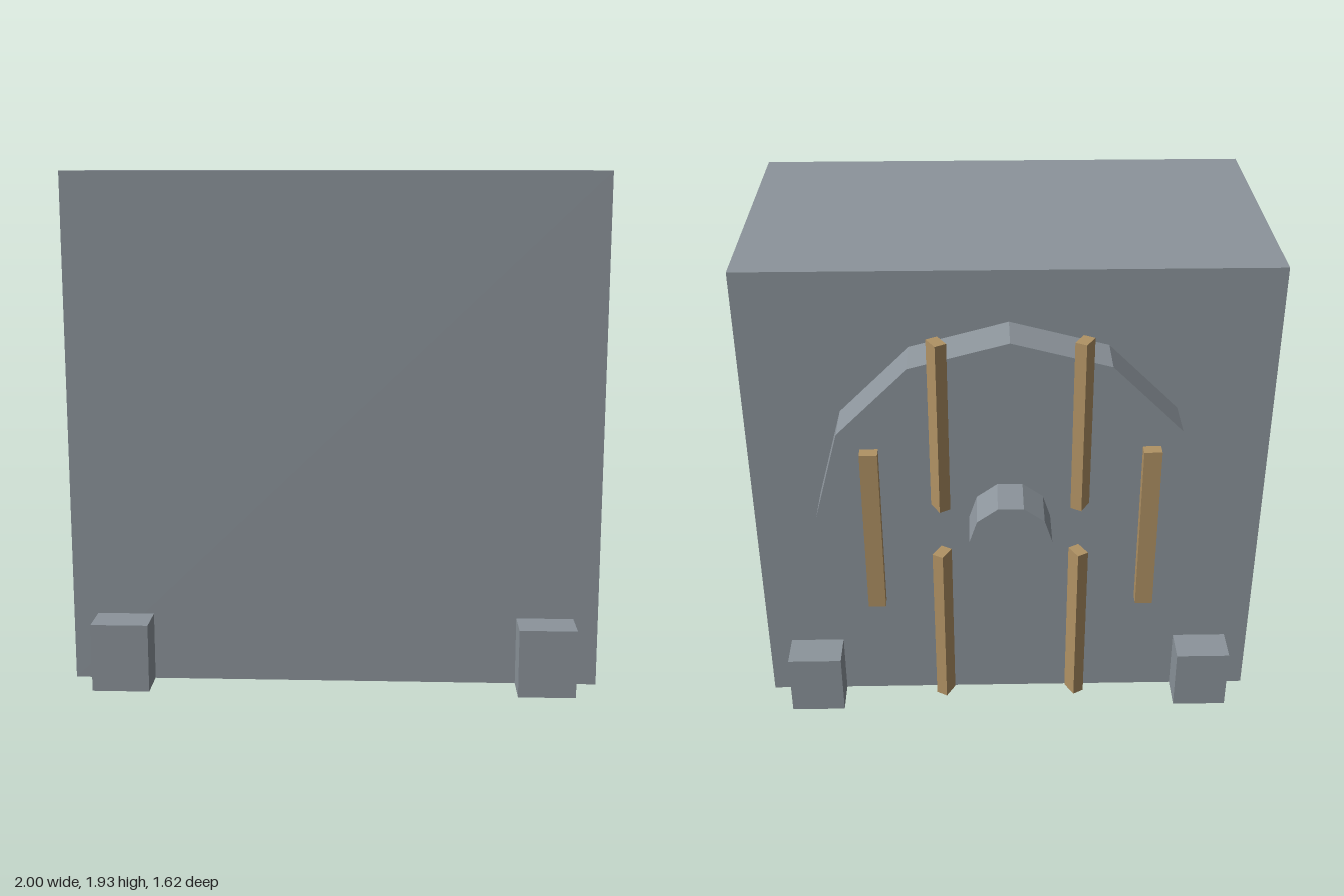
import * as THREE from 'three';

export function createModel() {
  const model = new THREE.Group();
  const grey = new THREE.MeshStandardMaterial({ color: 0x8c949b, flatShading: true });
  grey.name = 'steel grey';
  const tan = new THREE.MeshStandardMaterial({ color: 0xb09264, flatShading: true });
  tan.name = 'brass tan';

  const add = (name, geometry, material, x, y, z) => {
    const mesh = new THREE.Mesh(geometry, material);
    mesh.name = name;
    mesh.position.set(x, y, z);
    model.add(mesh);
    return mesh;
  };

  // Main housing
  const front = 0.675, back = -0.47;
  add('housing', new THREE.BoxGeometry(2, 1.935, front - back), grey, 0, 0.9675, (front + back) / 2);

  // Corner feet, standing proud of the front and back faces
  const footDepth = 0.137;
  const footGeometry = new THREE.BoxGeometry(0.215, 0.26, footDepth);
  for (const x of [-0.8, 0.8]) {
    add('frontFoot', footGeometry, grey, x, 0.13, front + footDepth / 2);
    add('backFoot', footGeometry, grey, x, 0.13, back - footDepth / 2);
  }

  // Faceted disc and hub on the back, with a corner pointing sideways
  const axisY = 0.997;
  const disc = (radius, depth, sides) =>
    new THREE.CylinderGeometry(radius, radius, depth, sides).rotateY(Math.PI / 2).rotateX(Math.PI / 2);
  add('backDisc', disc(0.735, 0.173, 12), grey, 0, axisY, -0.5565);
  add('hub', disc(0.153, 0.168, 10), grey, 0, axisY, -0.727);

  // Ring of six upright bars, each twisted about its own length
  const barGeometry = new THREE.BoxGeometry(0.066, 0.685, 0.045);
  for (let i = 0; i < 6; i++) {
    const angle = (i * Math.PI) / 3;
    const bar = add('bar', barGeometry, tan, 0.514 * Math.cos(angle), axisY + 0.514 * Math.sin(angle), -0.726);
    bar.rotation.y = -angle;
  }
  return model;
}
